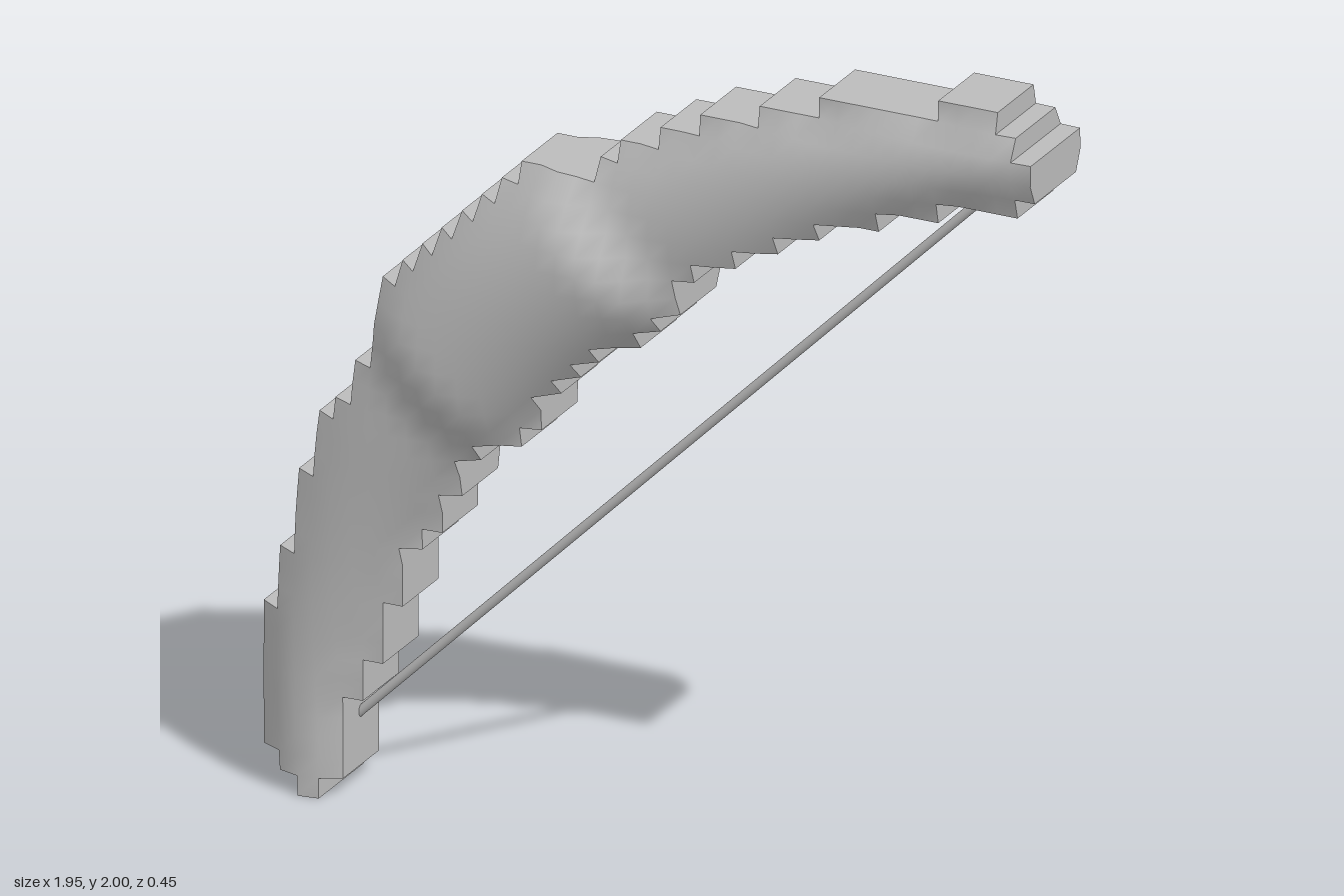
import * as THREE from 'three';

const STEP = 0.05;
const X0 = -0.975;

// stepped outline of the bow: lowest and highest row of each column, in steps
const LOW = [2, 1, 0, 1, 5, 7, 10, 13, 14, 16, 18, 19, 19, 20, 22, 23, 24, 25, 25, 26,
  27, 29, 30, 30, 31, 31, 32, 32, 33, 33, 33, 34, 34, 34, 35, 35, 35, 35, 36];
const HIGH = [9, 12, 16, 19, 20, 22, 26, 27, 28, 29, 30, 31, 32, 33, 33, 33, 33, 34, 35, 35,
  36, 36, 37, 37, 37, 38, 38, 38, 39, 39, 39, 39, 39, 39, 40, 40, 40, 39, 38];

// centre line running through the limbs and the grip
const SAMPLES = 240;
const spine = new THREE.CatmullRomCurve3([
  [-0.865, 0], [-0.875, 0.25], [-0.81, 0.55], [-0.7, 0.83], [-0.54, 1.08], [-0.34, 1.31],
  [-0.1, 1.49], [0.1, 1.6], [0.35, 1.73], [0.62, 1.82], [0.85, 1.87], [0.98, 1.87],
].map(([x, y]) => new THREE.Vector3(x, y, 0))).getSpacedPoints(SAMPLES);

// half thickness of the bow at a point of its outline plane
function halfDepth(x, y) {
  let best = Infinity, k = 0;
  spine.forEach((p, n) => {
    const d = Math.hypot(p.x - x, p.y - y);
    if (d < best) { best = d; k = n; }
  });
  const u = k / SAMPLES;
  const halfWidth = 0.1 + 0.11 * Math.pow(Math.sin(Math.PI * u), 1.5);
  const limb = u < 0.4
    ? THREE.MathUtils.lerp(0.12, 0.183, u / 0.4)
    : THREE.MathUtils.lerp(0.18, 0.128, (u - 0.4) / 0.6);
  const s = x + y;
  const grip = THREE.MathUtils.smoothstep(s, 0.46, 0.6) * (1 - THREE.MathUtils.smoothstep(s, 1.36, 1.5));
  const core = THREE.MathUtils.lerp(limb, 0.227, grip);
  const t = best / halfWidth;
  return Math.max(0.09, core * Math.sqrt(Math.max(0, 1 - 0.7 * t * t)));
}

const filled = (i, j) => i >= 0 && i < LOW.length && j >= LOW[i] && j < HIGH[i];

function geometryFrom(positions, index) {
  const g = new THREE.BufferGeometry();
  g.setAttribute('position', new THREE.Float32BufferAttribute(positions, 3));
  if (index) g.setIndex(index);
  g.computeVertexNormals();
  return g;
}

function bowGeometries() {
  const corners = new Map();
  const corner = (i, j) => {
    const key = i + ',' + j;
    if (!corners.has(key)) {
      const x = X0 + i * STEP, y = j * STEP;
      corners.set(key, { x, y, z: halfDepth(x, y), n: corners.size });
    }
    return corners.get(key);
  };
  const front = [], back = [], walls = [];
  for (let i = 0; i < LOW.length; i++) {
    for (let j = LOW[i]; j < HIGH[i]; j++) {
      const c = [corner(i, j), corner(i + 1, j), corner(i + 1, j + 1), corner(i, j + 1)];
      const [p, q, r, s] = c.map((v) => v.n);
      front.push(p, q, r, p, r, s);
      back.push(p, r, q, p, s, r);
      // a wall wherever the neighbouring cell is empty
      [[0, -1], [1, 0], [0, 1], [-1, 0]].forEach(([di, dj], e) => {
        if (filled(i + di, j + dj)) return;
        const a = c[e], b = c[(e + 1) % 4];
        const ab = [a.x, a.y, -a.z], bb = [b.x, b.y, -b.z];
        const af = [a.x, a.y, a.z], bf = [b.x, b.y, b.z];
        walls.push(...ab, ...bb, ...bf, ...ab, ...bf, ...af);
      });
    }
  }
  const points = [...corners.values()];
  return {
    bowFront: geometryFrom(points.flatMap((v) => [v.x, v.y, v.z]), front),
    bowBack: geometryFrom(points.flatMap((v) => [v.x, v.y, -v.z]), back),
    bowEdge: geometryFrom(walls),
  };
}

export function createModel() {
  const grey = new THREE.MeshStandardMaterial({ color: 0xbcbcbc });
  grey.name = 'plain grey';
  const model = new THREE.Group();
  model.name = 'bow';

  // curved stave: rounded front and back joined by stepped edges
  for (const [name, geometry] of Object.entries(bowGeometries())) {
    const mesh = new THREE.Mesh(geometry, grey);
    mesh.name = name;
    model.add(mesh);
  }

  // string stretched between the limb tips
  const from = new THREE.Vector3(-0.79, 0.168, 0);
  const to = new THREE.Vector3(0.822, 1.768, 0);
  const string = new THREE.Mesh(new THREE.CylinderGeometry(0.011, 0.011, from.distanceTo(to), 12), grey);
  string.name = 'bowString';
  string.position.copy(from).add(to).multiplyScalar(0.5);
  string.quaternion.setFromUnitVectors(new THREE.Vector3(0, 1, 0), to.clone().sub(from).normalize());
  model.add(string);

  return model;
}
